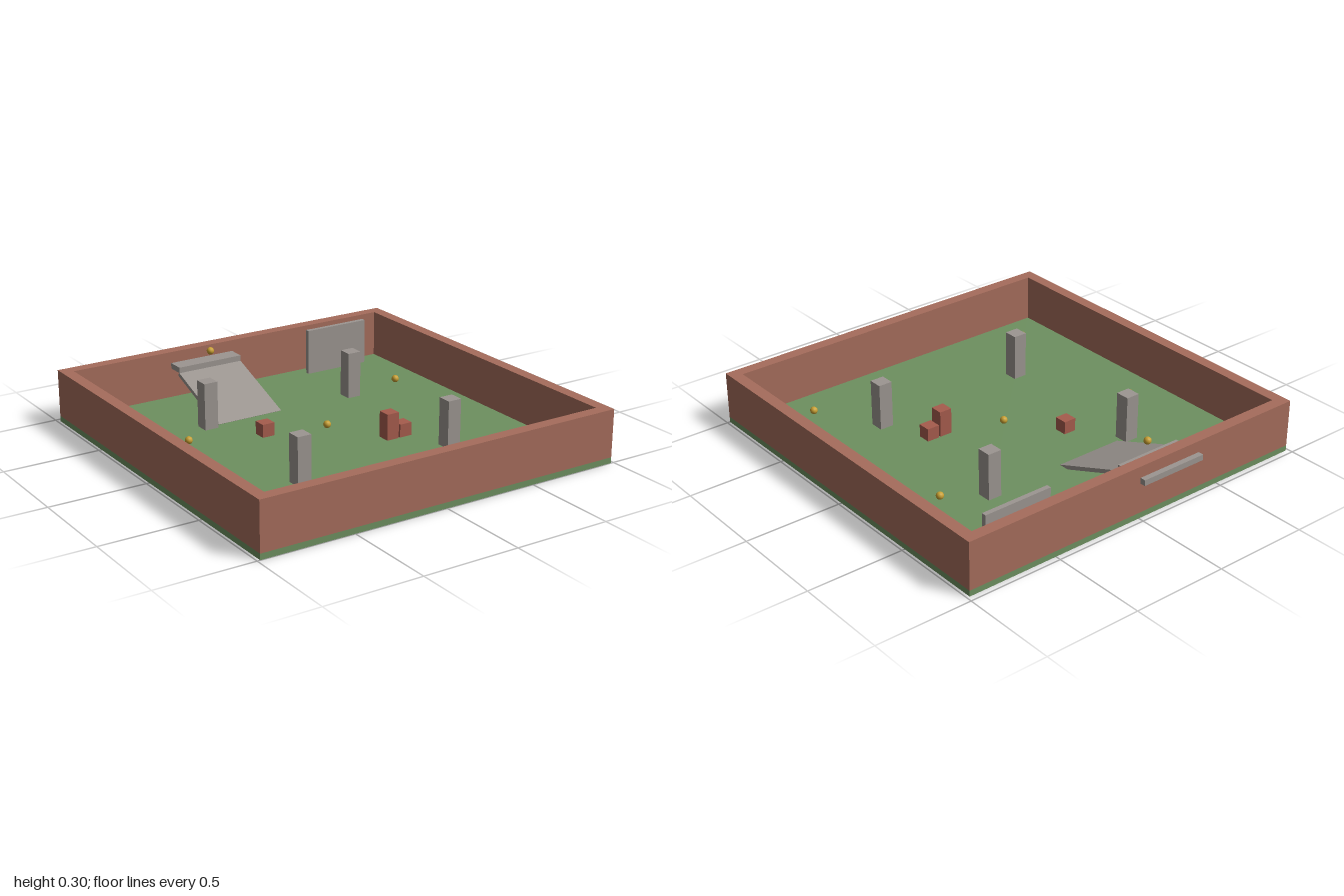
import * as THREE from 'three';

const CZ = 0.014; // arena centre along z
const FLOOR = 0.03;
const TOP = 0.277;

export function createModel() {
  const model = new THREE.Group();
  model.name = 'walledArena';

  const material = (name, color) => {
    const m = new THREE.MeshStandardMaterial({ color });
    m.name = name;
    return m;
  };
  const grass = material('grassGreen', 0x6e9060);
  const brick = material('brickRed', 0xa66d5c);
  const crateRed = material('crateRed', 0xa65c4d);
  const stone = material('stoneGrey', 0x9c9691);
  const gold = material('gold', 0xc9a032);

  // Box placed by its centre in plan and by its bottom and top heights
  const box = (name, mat, w, d, x, z, y0, y1) => {
    const mesh = new THREE.Mesh(new THREE.BoxGeometry(w, y1 - y0, d), mat);
    mesh.name = name;
    mesh.position.set(x, (y0 + y1) / 2, z);
    model.add(mesh);
    return mesh;
  };

  // Ground slab
  box('floor', grass, 1.97, 1.97, 0, CZ, 0, FLOOR);

  // Boundary wall as one square ring
  const square = (Type, h) => new Type([[-h, -h], [h, -h], [h, h], [-h, h]].map(([x, y]) => new THREE.Vector2(x, y)));
  const ring = square(THREE.Shape, 0.985);
  ring.holes.push(square(THREE.Path, 0.924));
  const wallGeometry = new THREE.ExtrudeGeometry(ring, { depth: TOP - FLOOR, bevelEnabled: false });
  wallGeometry.rotateX(-Math.PI / 2);
  const wall = new THREE.Mesh(wallGeometry, brick);
  wall.name = 'boundaryWall';
  wall.position.set(0, FLOOR, CZ);
  model.add(wall);

  // Four pillars
  for (const sx of [-1, 1]) {
    for (const sz of [-1, 1]) {
      box('pillar', stone, 0.074, 0.074, sx * 0.431, CZ + sz * 0.431, FLOOR, TOP - 0.002);
    }
  }

  // Raised platform that passes through the back wall
  box('platform', stone, 0.369, 0.18, -0.185, -0.91, 0.187, 0.217);

  // Sloping slab from the platform down to the floor
  const profile = new THREE.Shape();
  profile.moveTo(0.826, 0.188);
  profile.lineTo(0.416, 0.031);
  profile.lineTo(0.424, 0.012);
  profile.lineTo(0.834, 0.169);
  const rampGeometry = new THREE.ExtrudeGeometry(profile, { depth: 0.369, bevelEnabled: false });
  rampGeometry.rotateY(Math.PI / 2); // profile x becomes -z, depth becomes +x
  const ramp = new THREE.Mesh(rampGeometry, stone);
  ramp.name = 'ramp';
  ramp.position.x = -0.3695;
  model.add(ramp);

  // Upright panel with a smaller backing panel in the back left corner
  box('panel', stone, 0.369, 0.025, 0.615, -0.836, FLOOR, TOP - 0.002);
  box('backingPanel', stone, 0.185, 0.019, 0.615, -0.884, FLOOR, 0.215);

  // Crates, one of them stacked
  const crate = 0.068;
  for (const [x, z, level] of [[-0.246, -0.171, 0], [0.246, 0.198, 0], [0.323, 0.198, 0], [0.246, 0.198, 1]]) {
    const y = FLOOR + level * crate;
    box('crate', crateRed, crate, crate, x, z, y, y + crate);
  }

  // Floating gold balls
  const ballGeometry = new THREE.SphereGeometry(0.0195, 10, 8);
  const balls = [
    [0, 0.092, CZ], [-0.677, 0.092, -0.171], [0.677, 0.092, -0.356],
    [-0.677, 0.092, 0.69], [0.677, 0.092, 0.69], [-0.185, 0.277, -0.817],
  ];
  for (const [x, y, z] of balls) {
    const ball = new THREE.Mesh(ballGeometry, gold);
    ball.name = 'goldBall';
    ball.position.set(x, y, z);
    model.add(ball);
  }

  return model;
}
